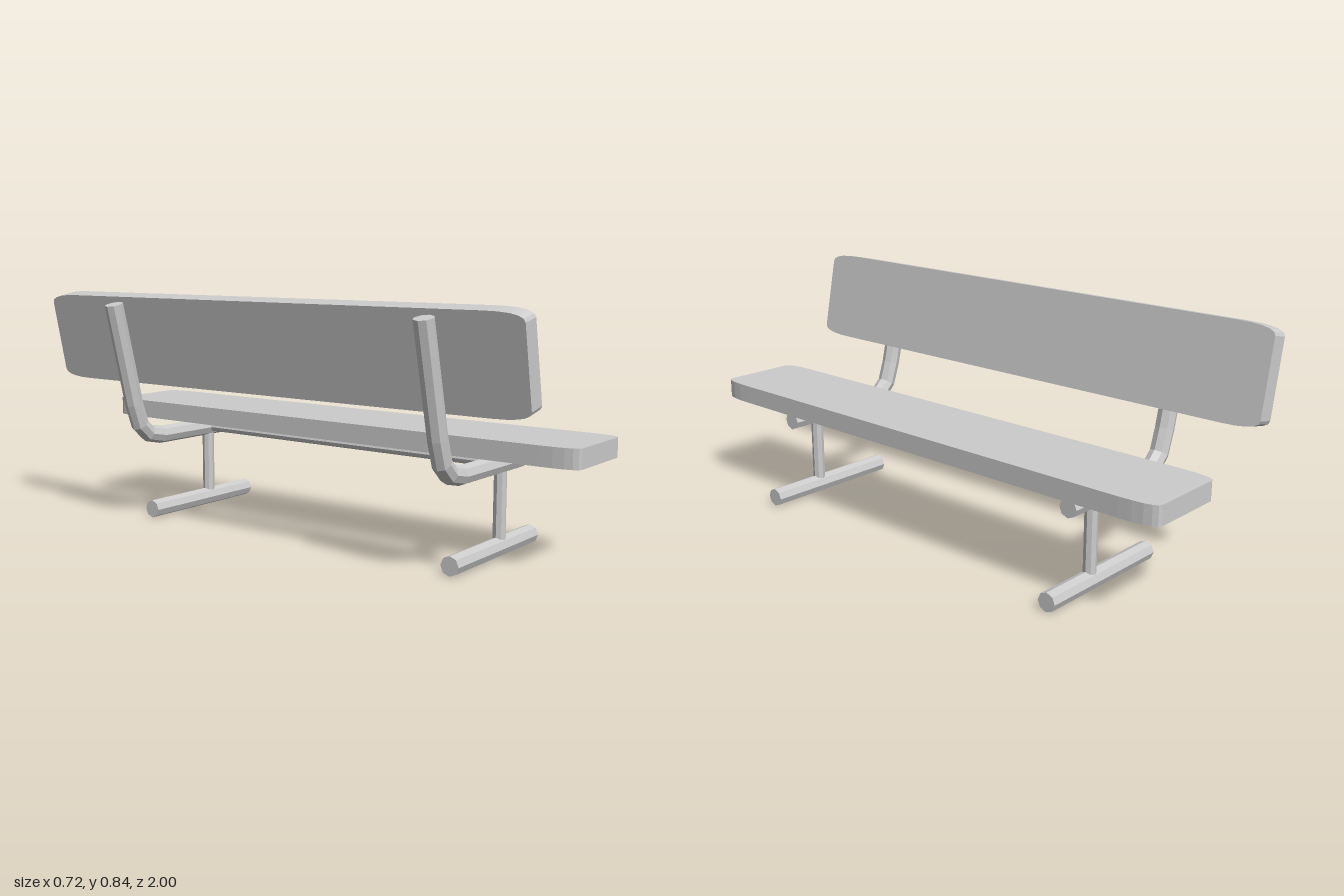
import * as THREE from 'three';

const metal = new THREE.MeshStandardMaterial({ color: 0xcccccc, flatShading: true });
const PIPE = 0.0325;

// Path through given points that keeps its straight runs and mitred bends
class BentPath extends THREE.Curve {
  constructor(points) {
    super();
    this.points = points.map(([x, y]) => new THREE.Vector3(x, y, 0));
  }
  getPointAt(u) {
    const n = this.points.length - 1;
    return this.points[Math.round(u * n)].clone();
  }
  getTangentAt(u) {
    const p = this.points, n = p.length - 1, i = Math.round(u * n);
    const dir = (a, b) => p[b].clone().sub(p[a]).normalize();
    if (i === 0) return dir(0, 1);
    if (i === n) return dir(n - 1, n);
    return dir(i - 1, i).add(dir(i, i + 1)).normalize();
  }
}

function addMesh(parent, name, geometry, x = 0, y = 0, z = 0) {
  const mesh = new THREE.Mesh(geometry, metal);
  mesh.name = name;
  mesh.position.set(x, y, z);
  parent.add(mesh);
  return mesh;
}

// Octagonal bar swept along the bent path, with end caps
function bentPipe(points, radius) {
  const ring = [];
  for (let i = 0; i < 8; i++) {
    const a = (i / 8) * Math.PI * 2;
    ring.push(new THREE.Vector2(Math.cos(a) * radius, Math.sin(a) * radius));
  }
  return new THREE.ExtrudeGeometry(new THREE.Shape(ring), {
    steps: points.length - 1, extrudePath: new BentPath(points), bevelEnabled: false,
  });
}

// Long board: width on x, thickness on y, length on z, with eased corners
function plank(width, length, thickness) {
  const w = width / 2, l = length / 2, cx = 0.03, cz = 0.13;
  const s = new THREE.Shape();
  s.moveTo(-w + cx, -l);
  s.lineTo(w - cx, -l);
  s.quadraticCurveTo(w, -l, w, -l + cz);
  s.lineTo(w, l - cz);
  s.quadraticCurveTo(w, l, w - cx, l);
  s.lineTo(-w + cx, l);
  s.quadraticCurveTo(-w, l, -w, l - cz);
  s.lineTo(-w, -l + cz);
  s.quadraticCurveTo(-w, -l, -w + cx, -l);
  const g = new THREE.ExtrudeGeometry(s, { depth: thickness, bevelEnabled: false, curveSegments: 5 });
  return g.translate(0, 0, -thickness / 2).rotateX(Math.PI / 2);
}

export function createModel() {
  const bench = new THREE.Group();
  bench.name = 'bench';

  // Seat and tilted backrest, offset slightly along the length
  addMesh(bench, 'seat', plank(0.318, 1.96, 0.065), 0.145, 0.3775, 0.02);
  const back = addMesh(bench, 'backrest', plank(0.318, 1.96, 0.063), -0.2325, 0.6745, -0.02);
  back.rotation.z = Math.PI / 2 + 0.2;

  // Two identical supports: foot, post and bent arm
  const foot = new THREE.CylinderGeometry(PIPE, PIPE, 0.525, 8).rotateZ(Math.PI / 2);
  const post = new THREE.CylinderGeometry(0.022, 0.022, 0.235, 8);
  const arm = bentPipe([
    [0.265, 0.307], [-0.115, 0.308], [-0.178, 0.321],
    [-0.218, 0.358], [-0.245, 0.437], [-0.332, 0.799],
  ], PIPE);
  for (const [name, z] of [['frontSupport', 0.66], ['rearSupport', -0.625]]) {
    const support = new THREE.Group();
    support.name = name;
    support.position.z = z;
    addMesh(support, 'foot', foot, 0.0975, PIPE);
    addMesh(support, 'post', post, 0.145, 0.17);
    addMesh(support, 'arm', arm);
    bench.add(support);
  }

  // Rail joining the supports under the seat
  const rail = new THREE.CylinderGeometry(0.017, 0.017, 1.285, 8).rotateX(Math.PI / 2);
  addMesh(bench, 'rail', rail, 0.145, 0.308, 0.0175);

  return bench;
}
